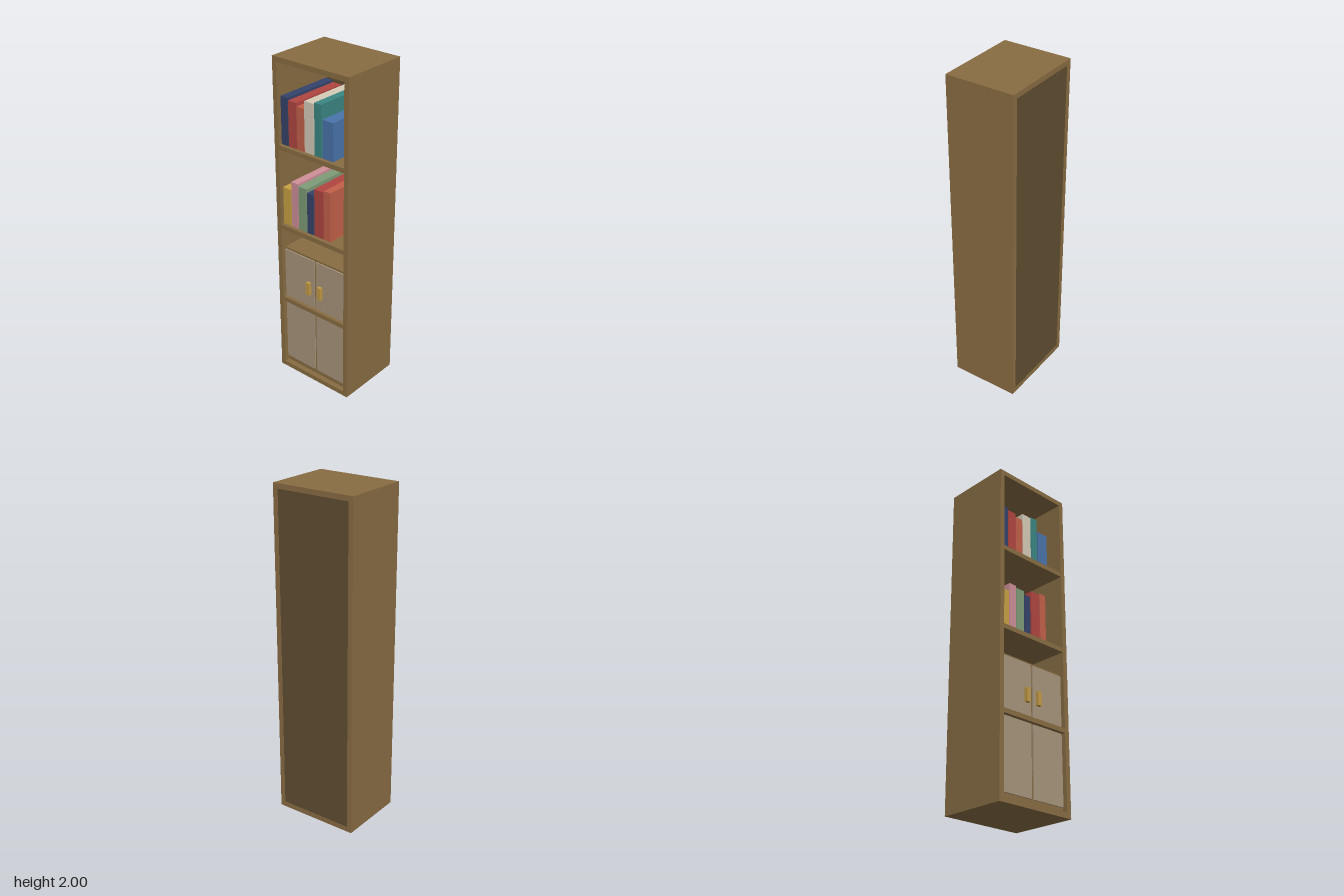
import * as THREE from 'three';

const W = 0.263, D = 0.21, T = 0.03, IN = W - T; // half width, half depth, board, inner half width

const mats = {};
function mat(color) {
  return (mats[color] ??= new THREE.MeshStandardMaterial({ color }));
}

// Box given by its min and max along each axis
function box(parent, name, color, [x0, x1], [y0, y1], [z0, z1]) {
  const mesh = new THREE.Mesh(new THREE.BoxGeometry(x1 - x0, y1 - y0, z1 - z0), mat(color));
  mesh.position.set((x0 + x1) / 2, (y0 + y1) / 2, (z0 + z1) / 2);
  mesh.name = name;
  parent.add(mesh);
}

const WOOD = 0x896d43, BACK = 0x614e31, DOOR = 0xa8957c, BRASS = 0xc39b46;
const NAVY = 0x36446b, RED = 0xb24641, CORAL = 0xc4614a, CREAM = 0xd6cbb8, TEAL = 0x3b8783;
const BLUE = 0x4a74ab, GOLD = 0xc9a244, PINK = 0xce8f98, GREEN = 0x7f9c78;

// Books: left edge, right edge, top, colour
const rows = [
  { name: 'upperBooks', y: 1.494, books: [
    [-0.232, -0.181, 1.775, NAVY], [-0.178, -0.12, 1.762, RED], [-0.116, -0.065, 1.743, CORAL],
    [-0.062, 0.004, 1.788, CREAM], [0.009, 0.056, 1.796, TEAL], [0.065, 0.14, 1.716, BLUE]] },
  { name: 'lowerBooks', y: 0.999, books: [
    [-0.232, -0.173, 1.23, GOLD], [-0.169, -0.12, 1.281, PINK], [-0.116, -0.056, 1.27, GREEN],
    [-0.052, -0.006, 1.25, NAVY], [0.002, 0.067, 1.292, RED], [0.073, 0.119, 1.302, CORAL]] },
];

export function createModel() {
  const model = new THREE.Group();
  model.name = 'bookcase';

  // Carcass
  const carcass = new THREE.Group();
  carcass.name = 'carcass';
  box(carcass, 'leftSide', WOOD, [IN, W], [0, 2], [-D, D]);
  box(carcass, 'rightSide', WOOD, [-W, -IN], [0, 2], [-D, D]);
  box(carcass, 'topBoard', WOOD, [-IN, IN], [2 - T, 2], [-D, D]);
  box(carcass, 'bottomBoard', WOOD, [-IN, IN], [0, T], [-D, D]);
  box(carcass, 'backPanel', BACK, [-IN, IN], [T, 2 - T], [-D + 0.002, -D + 0.015]);
  for (const top of [1.494, 0.999, 0.508]) {
    box(carcass, 'shelf', WOOD, [-IN, IN], [top - 0.028, top], [-D + 0.015, D - 0.001]);
  }
  model.add(carcass);

  // Cupboard with a pair of doors and handles
  const cupboard = new THREE.Group();
  cupboard.name = 'cupboard';
  box(cupboard, 'cupboardBody', WOOD, [-IN, IN], [T, 0.838], [-D + 0.015, 0.178]);
  for (const s of [-1, 1]) {
    const span = (a, b) => (s > 0 ? [a, b] : [-b, -a]);
    const side = s > 0 ? 'left' : 'right';
    box(cupboard, side + 'Door', DOOR, span(0.007, 0.231), [0.063, 0.826], [0.178, 0.186]);
    box(cupboard, side + 'Handle', BRASS, span(0.03, 0.056), [0.593, 0.675], [0.186, 0.206]);
  }
  model.add(cupboard);

  // Rows of books
  for (const row of rows) {
    const group = new THREE.Group();
    group.name = row.name;
    for (const [x0, x1, top, color] of row.books) {
      box(group, 'book', color, [x0, x1], [row.y, top], [-0.185, 0.186]);
    }
    model.add(group);
  }
  return model;
}
